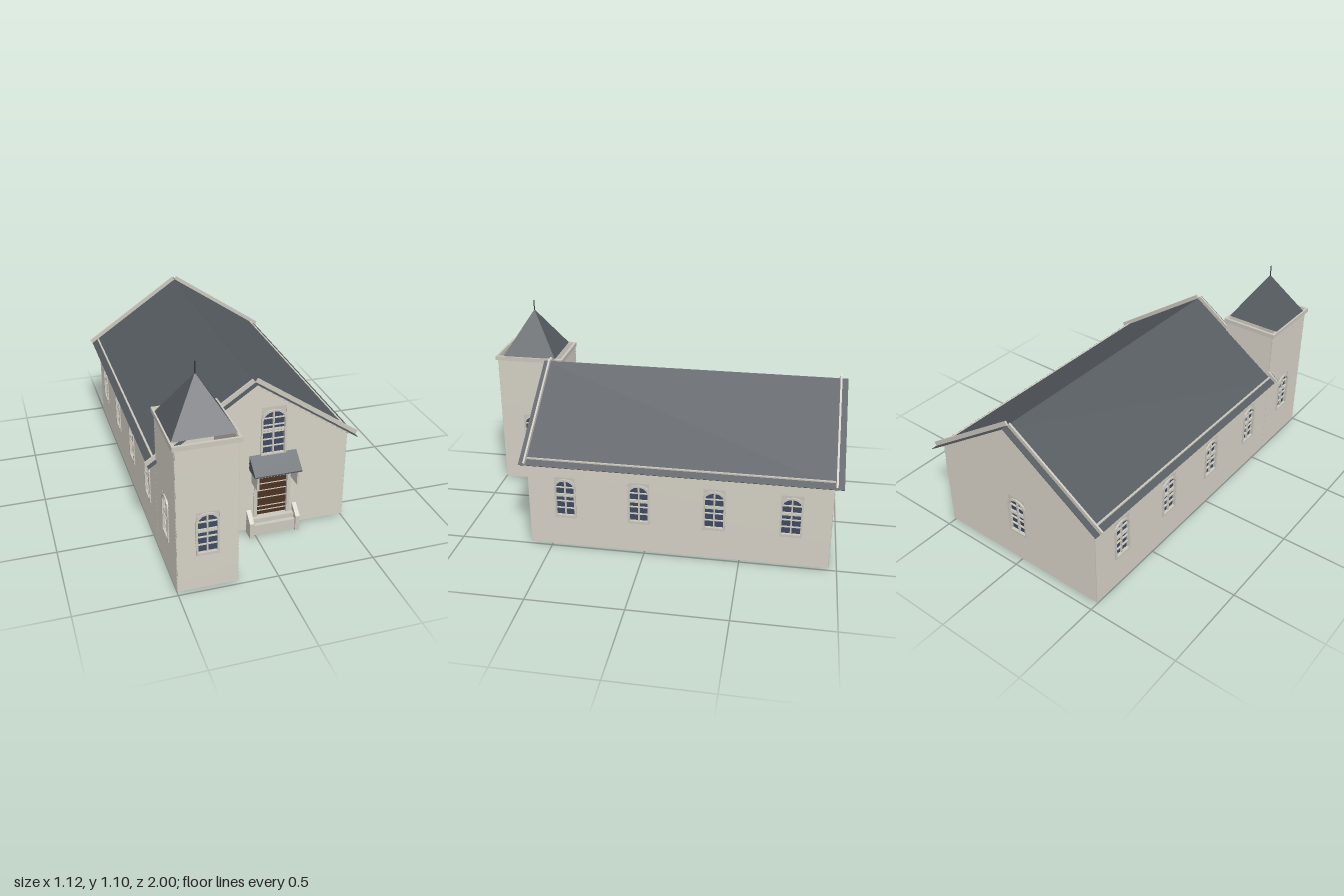
import * as THREE from 'three';
import { mergeGeometries } from 'three/addons/utils/BufferGeometryUtils.js';

const mat = (name, color, side = THREE.FrontSide) => {
  const m = new THREE.MeshStandardMaterial({ color, side });
  m.name = name;
  return m;
};

export function createModel() {
  const siding = mat('siding', 0xc9c5ba);
  const trim = mat('trim', 0xcbc8be);
  const slate = mat('slate', 0x565b60, THREE.DoubleSide);
  const glass = mat('glass', 0x3f4b60, THREE.DoubleSide);
  const wood = mat('door wood', 0x4c3321, THREE.DoubleSide);
  const iron = mat('iron', 0x34373b);

  const model = new THREE.Group();
  model.name = 'church';

  const add = (parent, name, geometry, material, x = 0, y = 0, z = 0) => {
    const mesh = new THREE.Mesh(geometry, material);
    mesh.name = name;
    mesh.position.set(x, y, z);
    parent.add(mesh);
    return mesh;
  };
  // Box given by its limits on each axis
  const box = (parent, name, material, x0, x1, y0, y1, z0, z1) =>
    add(parent, name, new THREE.BoxGeometry(x1 - x0, y1 - y0, z1 - z0), material,
      (x0 + x1) / 2, (y0 + y1) / 2, (z0 + z1) / 2);
  const extrude = (shape, depth) => new THREE.ExtrudeGeometry(shape, { depth, bevelEnabled: false });
  const poly = (pts) => new THREE.Shape(pts.map(([x, y]) => new THREE.Vector2(x, y)));

  // Outline of an opening, grown by g; arched ones have a low curved head
  const outline = ({ u, w, y0, y1, door }, g = 0) => {
    const h = w / 2 + g, rise = door ? 0 : 0.4 * w;
    const pts = [[u - h, y0 - g], [u + h, y0 - g]];
    if (door) pts.push([u + h, y1 + g], [u - h, y1 + g]);
    else for (let i = 0; i <= 6; i++) {
      const a = (i / 6) * Math.PI;
      pts.push([u + h * Math.cos(a), y1 + g - rise + rise * Math.sin(a)]);
    }
    return pts;
  };

  // Frame, pane and bars of a window or door
  function fitOpening(parent, o) {
    const g = new THREE.Group();
    g.name = o.door ? 'door' : 'window';
    parent.add(g);
    const border = o.door ? 0.018 : 0.01;
    const frame = poly(outline(o, border));
    frame.holes.push(poly(outline(o)));
    add(g, 'frame', extrude(frame, 0.024), trim, 0, 0, -0.015);
    add(g, 'pane', extrude(poly(outline(o)), 0.004), o.door ? wood : glass, 0, 0, -0.012);
    const bar = (y, t, z = 0.002) =>
      box(g, 'crossBar', trim, o.u - o.w / 2, o.u + o.w / 2, y - t / 2, y + t / 2, -0.009, z);
    if (o.door) {
      for (const y of [0.115, 0.14, 0.19, 0.235, 0.275, 0.31]) bar(y, 0.004, -0.004);
    } else {
      const n = Math.round((o.y1 - o.y0) / 0.042);
      for (let i = 1; i < n; i++) bar(o.y0 + ((o.y1 - o.y0) * i) / n, 0.004);
      bar(o.y0 + (o.y1 - o.y0) * 0.56, 0.009, 0.004);
      box(g, 'mullion', trim, o.u - 0.004, o.u + 0.004, o.y0, o.y1 - 0.002, -0.009, 0.002);
    }
  }

  // Overlapping boards, cut short around the openings
  const ROW = 0.02, LAP = 0.004;
  function boards({ u0, u1, y0, y1, apex = y1, openings = [] }) {
    const parts = [];
    for (let y = y0; y < apex - ROW; y += ROW) {
      const top = Math.min(y + ROW, apex);
      const k = top > y1 ? (apex - top) / (apex - y1) : 1;
      const mid = (u0 + u1) / 2, half = ((u1 - u0) / 2) * k;
      let runs = [[mid - half, mid + half]];
      for (const o of openings) {
        if (top < o.y0 - 0.01 || y > o.y1 + 0.01) continue;
        const a = o.u - o.w / 2 - 0.008, b = o.u + o.w / 2 + 0.008;
        runs = runs.flatMap(([s, e]) => [[s, Math.min(e, a)], [Math.max(s, b), e]])
          .filter(([s, e]) => e - s > 0.002);
      }
      for (const [s, e] of runs) {
        const b = new THREE.BoxGeometry(e - s, top - y, LAP);
        const p = b.attributes.position;
        for (let i = 0; i < p.count; i++) {
          if (p.getY(i) > 0 && p.getZ(i) > 0) p.setZ(i, -LAP / 2 + 0.0005);
        }
        b.translate((s + e) / 2, (y + top) / 2, LAP / 2);
        b.computeVertexNormals();
        parts.push(b);
      }
    }
    return mergeGeometries(parts);
  }

  // Thin wall facing local +z, with boards and fitted openings
  function wall(name, x, z, turn, spec) {
    const { u0, u1, y0, y1, apex, openings = [] } = spec;
    const g = new THREE.Group();
    g.name = name;
    g.position.set(x, 0, z);
    g.rotation.y = turn * Math.PI / 2;
    const pts = [[u0, y0], [u1, y0], [u1, y1]];
    if (apex) pts.push([(u0 + u1) / 2, apex]);
    const shape = poly([...pts, [u0, y1]]);
    for (const o of openings) shape.holes.push(poly(outline(o)));
    add(g, 'wallSheet', extrude(shape, 0.004), siding, 0, 0, -0.004);
    add(g, 'clapboards', boards(spec), siding);
    for (const o of openings) fitOpening(g, o);
    model.add(g);
  }

  // Nave walls
  const BASE = 0.015, FRONT = 0.61, BACK = -0.955;
  const gable = { u0: -0.5, u1: 0.5, y0: BASE, y1: 0.512, apex: 0.853 };
  wall('frontWall', 0, FRONT, 0, { ...gable, openings: [
    { u: 0.1, w: 0.115, y0: 0.455, y1: 0.69 },
    { u: 0.1, w: 0.16, y0: 0.09, y1: 0.343, door: true }] });
  wall('backWall', 0, BACK, 2, { ...gable, openings: [{ u: 0, w: 0.095, y0: 0.195, y1: 0.395 }] });
  for (const s of [1, -1]) {
    const ends = [-s * FRONT, -s * BACK].sort((a, b) => a - b);
    wall(s > 0 ? 'leftWall' : 'rightWall', s * 0.5, 0, s, {
      u0: ends[0], u1: ends[1], y0: BASE, y1: 0.51,
      openings: [0.415, 0.025, -0.365, -0.755].map((z) => ({ u: -s * z, w: 0.095, y0: 0.195, y1: 0.395 })) });
  }

  // Nave roof, gable boards and eave boards
  const RIDGE = 0.86, EAVE_X = 0.545, DROP = 0.37;
  const slope = Math.atan2(DROP, EAVE_X), run = Math.hypot(EAVE_X, DROP);
  for (const s of [1, -1]) {
    const roof = add(model, 'roofSlope', new THREE.BoxGeometry(run, 0.003, 1.645), slate,
      s * EAVE_X / 2, RIDGE - DROP / 2, -0.1775);
    roof.rotation.z = -s * slope;
    for (const z of [FRONT + 0.002, BACK - 0.008]) {
      const rake = add(model, 'gableBoard', new THREE.BoxGeometry(run, 0.024, 0.01), trim,
        s * (EAVE_X / 2 + 0.006), RIDGE - DROP / 2 + 0.009, z);
      rake.rotation.z = -s * slope;
    }
    box(model, 'eaveBoard', trim, s * 0.51 - 0.005, s * 0.51 + 0.005, 0.495, 0.519, BACK, FRONT);
  }

  // Tower
  const TX = -0.352, TZ = 0.8, HX = 0.148, HZ = 0.188, TOP = 0.79;
  const light = { u: 0, w: 0.095, y0: 0.215, y1: 0.42 };
  const body = { y0: BASE, y1: TOP, openings: [light] };
  wall('towerFront', TX, TZ + HZ, 0, { ...body, u0: -HX, u1: HX });
  wall('towerLeft', TX + HX, TZ, 1, { ...body, u0: -HZ, u1: HZ });
  wall('towerRight', TX - HX, TZ, -1, { ...body, u0: -HZ, u1: HZ });
  wall('towerBack', TX, 0.606, 2, { u0: -HX, u1: HX, y0: 0.5, y1: TOP });

  // Tower cornice, open in the middle
  const rect = (hx, hz) => [[-hx, -hz], [hx, -hz], [hx, hz], [-hx, hz]];
  const ring = poly(rect(HX + 0.014, HZ + 0.012));
  ring.holes.push(poly(rect(HX - 0.002, HZ - 0.002)));
  add(model, 'towerCornice', extrude(ring, 0.024), trim, TX, 0.798, TZ).rotation.x = Math.PI / 2;

  // Spire and finial
  const spire = new THREE.ConeGeometry(0.154 * Math.SQRT2, 0.245, 4, 1, true).toNonIndexed();
  spire.rotateY(Math.PI / 4);
  spire.computeVertexNormals();
  add(model, 'spire', spire, slate, TX, 0.797 + 0.1225, TZ);
  add(model, 'finial', new THREE.CylinderGeometry(0.003, 0.003, 0.07, 8), iron, TX, 1.063, TZ);

  // Side profile in (z, y) drawn across x0..x1
  const across = (name, material, pts, x0, x1) => {
    const geo = extrude(poly(pts.map(([z, y]) => [-z, y])), x1 - x0);
    geo.rotateY(Math.PI / 2);
    add(model, name, geo, material, x0);
  };

  // Porch canopy and brackets
  across('canopy', slate, [[0.61, 0.375], [0.61, 0.455], [0.705, 0.382], [0.705, 0.375]], -0.025, 0.225);
  for (const x of [-0.012, 0.2]) {
    across('canopyBracket', trim, [[0.61, 0.375], [0.7, 0.375], [0.7, 0.3], [0.61, 0.297]], x, x + 0.012);
  }

  // Entrance steps and cheek walls
  box(model, 'lowerStep', trim, -0.015, 0.215, 0.008, 0.065, 0.61, 0.662);
  box(model, 'doorStep', trim, -0.013, 0.213, 0.065, 0.09, 0.61, 0.64);
  for (const x of [-0.036, 0.213]) {
    across('stepCheek', trim, [[0.61, 0], [0.61, 0.135], [0.672, 0.085], [0.672, 0]], x, x + 0.023);
  }
  return model;
}
